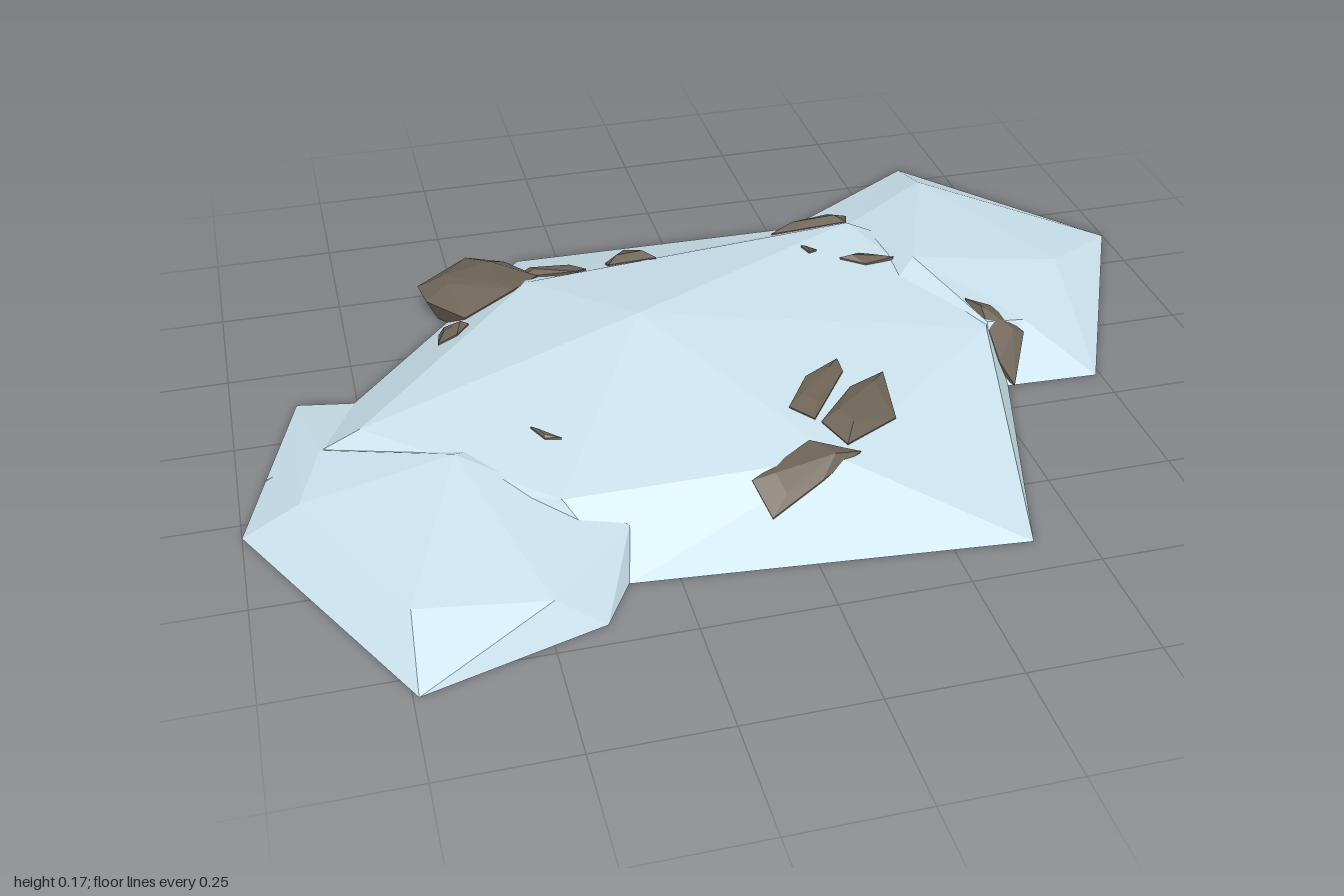
import * as THREE from 'three';
import { ConvexGeometry } from 'three/addons/geometries/ConvexGeometry.js';

const snow = new THREE.MeshStandardMaterial({ color: 0xcbe3ee, flatShading: true });
const stone = new THREE.MeshStandardMaterial({ color: 0x6e6457, flatShading: true });

// Faceted mound: flat base outline [x, z], shoulder ring [x, y, z] and one peak
function mound(name, peak, base, ring) {
  const pos = [];
  const tri = (...corners) => corners.forEach((c) => pos.push(...c));
  const foot = base.map(([x, z]) => [x, 0, z]);
  const centre = [peak[0], 0, peak[2]];
  foot.forEach((f, i) => {
    const j = (i + 1) % foot.length;
    tri(peak, ring[j], ring[i]);
    tri(ring[i], ring[j], foot[j]);
    tri(ring[i], foot[j], f);
    tri(centre, f, foot[j]);
  });
  const geo = new THREE.BufferGeometry();
  geo.setAttribute('position', new THREE.Float32BufferAttribute(pos, 3));
  geo.computeVertexNormals();
  const mesh = new THREE.Mesh(geo, snow);
  mesh.name = name;
  return mesh;
}

export function createModel() {
  const group = new THREE.Group();

  // Three overlapping snow mounds
  const mounds = [
    mound('mainMound', [-0.18, 0.17, -0.03],
      [[-0.34, -0.6], [0.42, -0.59], [0.69, -0.3], [0.4, 0.67], [-0.34, 0.6], [-0.95, 0.12]],
      [[-0.36, 0.1, -0.33], [0.38, 0.105, -0.4], [0.53, 0.09, 0.08],
        [0.09, 0.095, 0.45], [-0.43, 0.095, 0.45], [-0.76, 0.095, 0.13]]),
    mound('rightMound', [0.46, 0.125, -0.18],
      [[0.3, -0.59], [0.65, -0.81], [1, -0.37], [0.74, 0.18], [0.52, 0.17], [0.2, -0.1]],
      [[0.4, 0.07, -0.45], [0.63, 0.065, -0.62], [0.8, 0.065, -0.19],
        [0.63, 0.07, 0.04], [0.54, 0.09, 0.06], [0.38, 0.08, -0.12]]),
    mound('leftMound', [-0.6, 0.11, 0.28],
      [[-0.87, -0.13], [-0.45, -0.05], [-0.33, 0.58], [-0.4, 0.7], [-0.74, 0.8], [-1, 0.29]],
      [[-0.84, 0.06, 0.13], [-0.5, 0.06, 0.2], [-0.32, 0.06, 0.51],
        [-0.49, 0.065, 0.69], [-0.73, 0.065, 0.65], [-0.89, 0.065, 0.3]]),
  ];
  group.add(...mounds);

  // Height of the snow at a point
  const ray = new THREE.Raycaster();
  const down = new THREE.Vector3(0, -1, 0);
  const ground = (x, z) => {
    ray.set(new THREE.Vector3(x, 1, z), down);
    const hit = ray.intersectObjects(mounds)[0];
    return hit ? hit.point.y : 0;
  };

  // Rock: rim resting on the snow, smaller crown above, buried root below
  function rock(name, rise, outline, lift = 0) {
    const cx = outline.reduce((s, p) => s + p[0], 0) / outline.length;
    const cz = outline.reduce((s, p) => s + p[1], 0) / outline.length;
    const pts = [];
    outline.forEach(([x, z], i) => {
      const y = Math.max(ground(x, z), lift) + 0.004;
      const at = (k) => [cx + (x - cx) * k, cz + (z - cz) * k];
      const [tx, tz] = at(0.55);
      const [bx, bz] = at(0.8);
      pts.push(new THREE.Vector3(x, y, z));
      if (i % 2 === 0) pts.push(new THREE.Vector3(tx, Math.max(ground(tx, tz), lift) + rise, tz));
      pts.push(new THREE.Vector3(bx, Math.max(0, y - 0.06), bz));
    });
    const mesh = new THREE.Mesh(new ConvexGeometry(pts), stone);
    mesh.name = name;
    group.add(mesh);
  }

  // Rocks along the back
  rock('backBoulder', 0.035, [[-0.58, -0.46], [-0.46, -0.56], [-0.38, -0.52],
    [-0.33, -0.37], [-0.39, -0.31], [-0.5, -0.3], [-0.57, -0.39]], 0.045);
  rock('backRockA', 0.018, [[-0.37, -0.43], [-0.3, -0.44], [-0.22, -0.38], [-0.25, -0.34], [-0.36, -0.39]]);
  rock('backRockB', 0.025, [[-0.17, -0.38], [-0.17, -0.42], [-0.12, -0.48], [-0.09, -0.45], [-0.07, -0.35]]);
  rock('backRockC', 0.02, [[-0.56, -0.28], [-0.51, -0.27], [-0.5, -0.23], [-0.53, -0.19], [-0.57, -0.2], [-0.55, -0.24]]);
  rock('backRockD', 0.025, [[0.23, -0.49], [0.31, -0.53], [0.4, -0.54], [0.42, -0.52], [0.39, -0.43], [0.3, -0.47]]);

  // Rocks in the saddle on the right
  rock('saddleRock', 0.012, [[0.31, -0.23], [0.36, -0.25], [0.43, -0.22], [0.36, -0.2]]);
  rock('saddlePebble', 0.008, [[0.24, -0.29], [0.27, -0.27], [0.25, -0.26]]);
  rock('sideRock', 0.015, [[0.52, -0.02], [0.57, 0], [0.62, 0.07], [0.56, 0.18], [0.54, 0.14]]);

  // Rocks on the front slope
  rock('frontRockA', 0.012, [[0.04, 0.3], [0.1, 0.21], [0.18, 0.16], [0.18, 0.2], [0.08, 0.34]]);
  rock('frontRockB', 0.018, [[0.09, 0.35], [0.18, 0.25], [0.26, 0.21], [0.24, 0.35], [0.12, 0.42]]);
  rock('frontRockC', 0.012, [[-0.08, 0.47], [0.05, 0.4], [0.14, 0.44], [0.05, 0.49], [-0.06, 0.54]]);
  rock('frontPebble', 0.008, [[-0.45, 0.24], [-0.4, 0.29], [-0.43, 0.28]]);

  return group;
}
